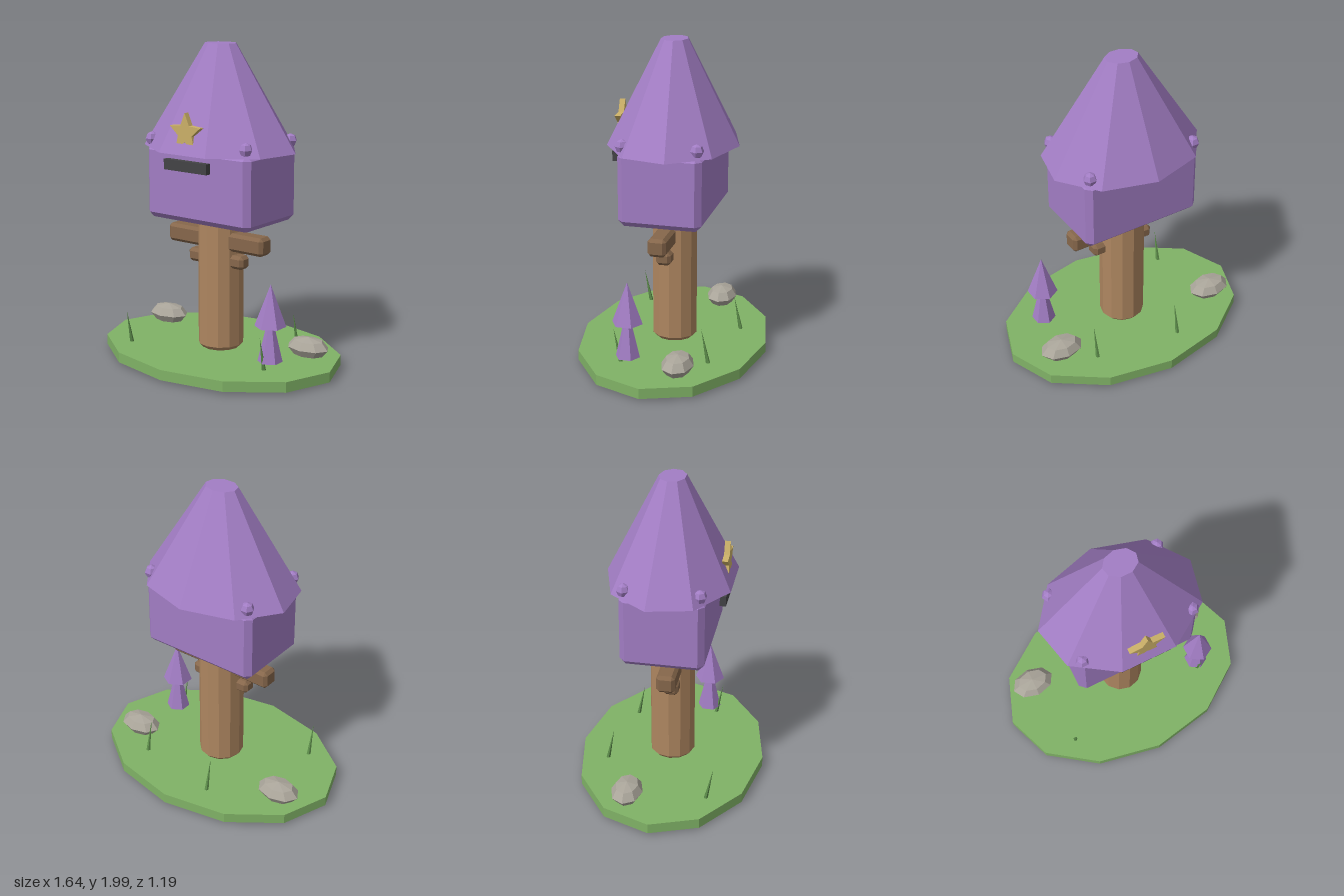
import * as THREE from 'three';
import { ConvexGeometry } from 'three/addons/geometries/ConvexGeometry.js';

const material = (name, color) => {
  const m = new THREE.MeshStandardMaterial({ color });
  m.name = name;
  return m;
};

// Faceted normals for the low-poly look
function flat(geometry) {
  const g = geometry.index ? geometry.toNonIndexed() : geometry;
  g.computeVertexNormals();
  return g;
}

// Box whose edges and corners are cut by c
function chamferBox(w, h, d, c) {
  const points = [];
  for (const sx of [-1, 1]) for (const sy of [-1, 1]) for (const sz of [-1, 1]) {
    for (let axis = 0; axis < 3; axis++) {
      const inset = [c, c, c];
      inset[axis] = 0;
      points.push(new THREE.Vector3(
        sx * (w / 2 - inset[0]), sy * (h / 2 - inset[1]), sz * (d / 2 - inset[2])));
    }
  }
  return new ConvexGeometry(points);
}

export function createModel() {
  const model = new THREE.Group();
  model.name = 'treehouse';

  const purple = material('purple', 0xa27dc4);
  const bark = material('bark', 0xae8660);
  const wood = material('darkWood', 0x86674b);
  const green = material('green', 0x80b266);
  const blade = material('grassGreen', 0x5c8c4a);
  const stone = material('stone', 0xaaa59a);
  const gold = material('gold', 0xcbb068);
  const dark = material('charcoal', 0x434346);

  function add(name, geometry, mat, x, y, z) {
    const mesh = new THREE.Mesh(flat(geometry), mat);
    mesh.name = name;
    mesh.position.set(x, y, z);
    model.add(mesh);
    return mesh;
  }

  // Oval ground slab
  const ground = new THREE.CylinderGeometry(1, 1, 0.065, 12).scale(0.822, 1, 0.593);
  add('ground', ground, green, 0, 0.0525, 0);

  // Trunk with chamfered ends
  const trunk = [[0, 0.083], [0.118, 0.083], [0.143, 0.11], [0.143, 0.93], [0.118, 0.955], [0, 0.955]]
    .map(([r, y]) => new THREE.Vector2(r, y));
  add('trunk', new THREE.LatheGeometry(trunk, 12), bark, 0, 0, 0);

  // Crossbeams through the trunk
  add('upperBeam', chamferBox(0.735, 0.115, 0.115, 0.02), wood, 0, 0.787, 0.02);
  add('lowerBeam', chamferBox(0.425, 0.085, 0.095, 0.02), wood, 0, 0.662, 0.022);

  // Cabin and nine-sided roof
  add('cabin', chamferBox(0.79, 0.465, 0.515, 0.036), purple, 0, 1.147, 0);
  const roof = new THREE.CylinderGeometry(0.204, 1, 0.64, 9).rotateY(Math.PI).scale(0.515, 1, 0.405);
  add('roof', roof, purple, 0, 1.68, 0);

  // Knobs at the cabin corners
  for (const x of [-0.36, 0.36]) for (const z of [-0.228, 0.228]) {
    add('cornerKnob', new THREE.SphereGeometry(0.043, 6, 4), purple, x, 1.41, z);
  }

  // Sign bar and star on the front
  add('signBar', new THREE.BoxGeometry(0.325, 0.064, 0.038), dark, 0, 1.288, 0.333);
  const star = new THREE.Shape();
  for (let i = 0; i < 10; i++) {
    const r = i % 2 ? 0.055 : 0.12;
    const a = Math.PI / 2 + i * Math.PI / 5;
    if (i) star.lineTo(r * Math.cos(a), r * Math.sin(a));
    else star.moveTo(0, r);
  }
  add('star', new THREE.ExtrudeGeometry(star, { depth: 0.035, bevelEnabled: false }), gold, 0, 1.49, 0.315);

  // Small two-tier tree
  add('smallTreeTop', new THREE.ConeGeometry(0.096, 0.26, 6), purple, 0.5, 0.48, 0.163);
  add('smallTreeBase', new THREE.CylinderGeometry(0.028, 0.076, 0.205, 6), purple, 0.5, 0.232, 0.163);

  // Rocks
  for (const [x, z] of [[-0.582, -0.178], [0.556, -0.164]]) {
    add('rock', new THREE.SphereGeometry(1, 8, 4).scale(0.143, 0.065, 0.099), stone, x, 0.141, z);
  }

  // Grass blades leaning forward
  for (const [x, z] of [[-0.492, 0.285], [0.49, 0.198], [0.375, -0.323], [-0.18, -0.408]]) {
    const grass = new THREE.ConeGeometry(0.018, 0.295, 5).translate(0, 0.1475, 0);
    add('grassBlade', grass, blade, x, 0.01, z).rotation.x = 0.2;
  }

  return model;
}
